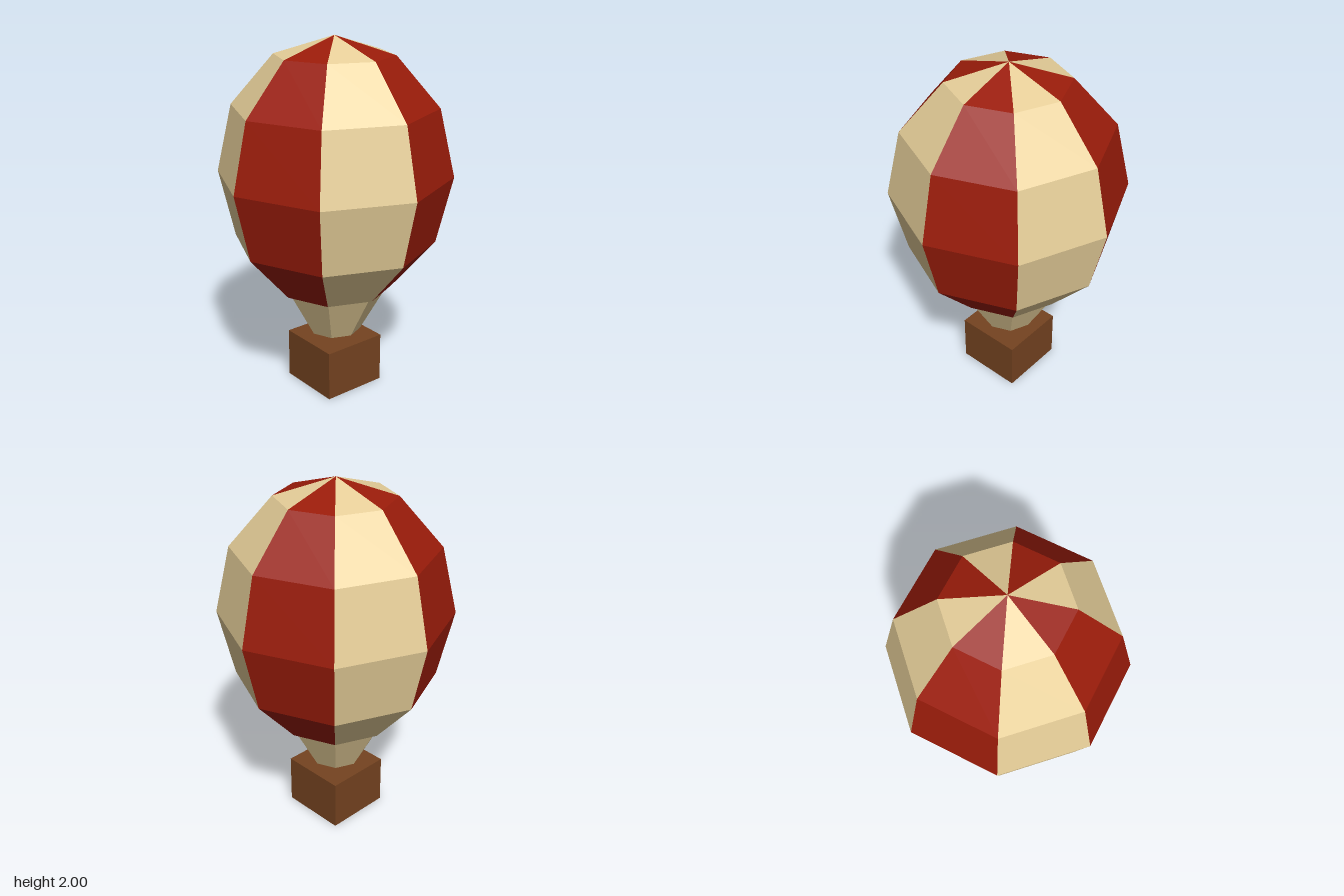
import * as THREE from 'three';

const paint = (name, color) => {
  const material = new THREE.MeshStandardMaterial({ color });
  material.name = name;
  return material;
};

// Split the faces so that every facet is flat.
const faceted = (geometry) => {
  const flat = geometry.toNonIndexed();
  flat.computeVertexNormals();
  return flat;
};

export function createModel() {
  const model = new THREE.Group();
  model.name = 'hotAirBalloon';

  const red = paint('red', 0x9b1c0a);
  const cream = paint('cream', 0xe8d09a);
  const skirtCream = cream;
  skirtCream.side = THREE.DoubleSide;
  const brown = paint('brown', 0x754320);

  const add = (parent, name, geometry, material, y) => {
    const mesh = new THREE.Mesh(faceted(geometry), material);
    mesh.name = name;
    mesh.position.y = y;
    parent.add(mesh);
  };

  // Envelope profile from the bottom pole to the crown
  const rows = 6;
  const profile = [];
  for (let j = 0; j <= rows; j++) {
    const a = (j / rows) * Math.PI;
    profile.push(new THREE.Vector2(0.65 * Math.sin(a), -0.75 * Math.cos(a)));
  }

  // Envelope: eight flat-panelled gores in alternating colours
  const envelope = new THREE.Group();
  envelope.name = 'envelope';
  const gores = 8;
  const step = (Math.PI * 2) / gores;
  for (let i = 0; i < gores; i++) {
    const gore = new THREE.LatheGeometry(profile, 1, i * step, step);
    add(envelope, `gore${i + 1}`, gore, i % 2 ? cream : red, 1.25);
  }
  model.add(envelope);

  // Tapered open skirt under the envelope
  add(model, 'skirt', new THREE.CylinderGeometry(0.3, 0.15, 0.27, 8, 1, true), skirtCream, 0.46);

  // Basket
  add(model, 'basket', new THREE.BoxGeometry(0.38, 0.285, 0.38), brown, 0.1425);

  return model;
}
